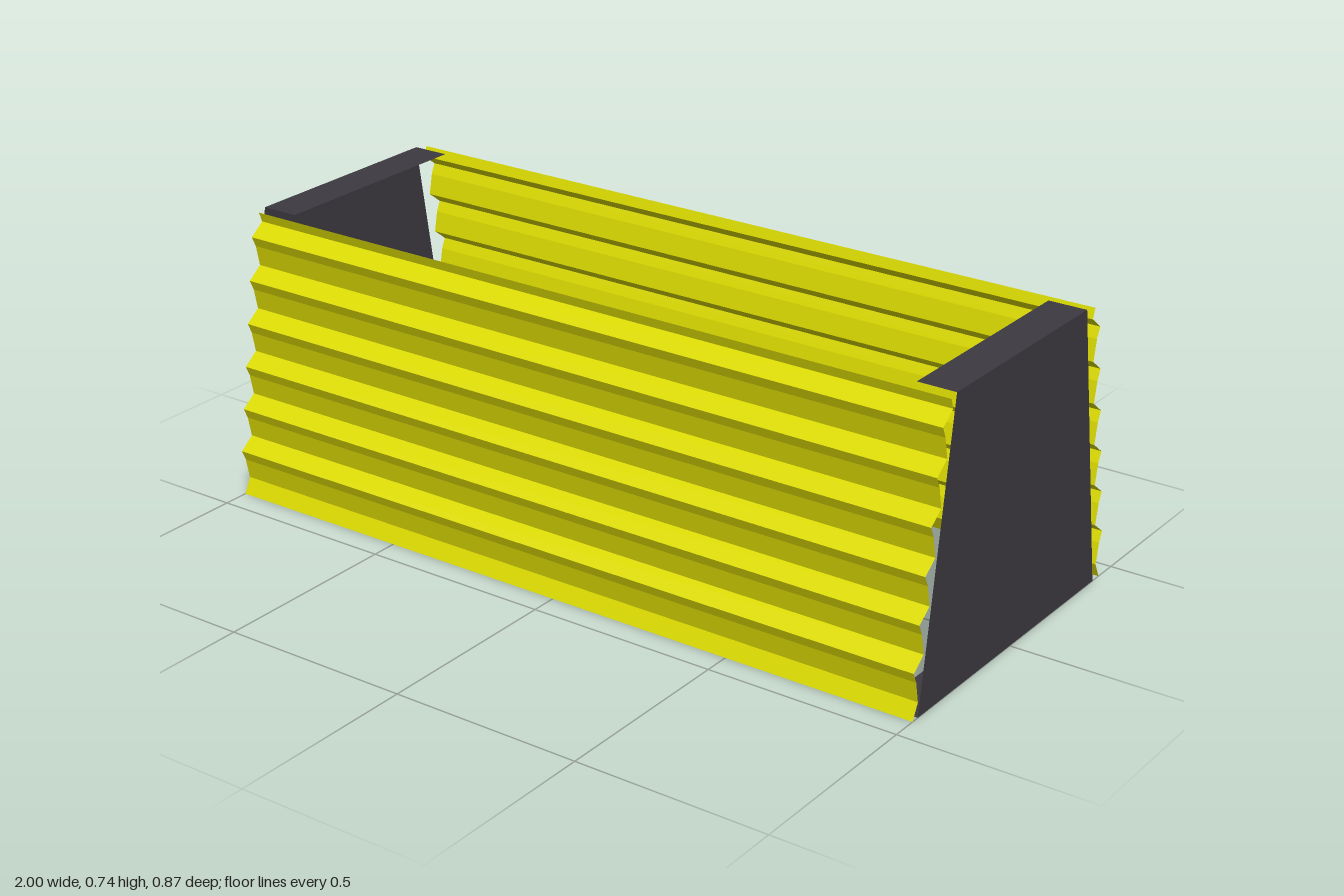
import * as THREE from 'three';

export function createModel() {
  const group = new THREE.Group();
  const yellow = new THREE.MeshStandardMaterial({ color: 0xdcdb00, side: THREE.DoubleSide, flatShading: true });
  yellow.name = 'yellow corrugated metal';
  const dark = new THREE.MeshStandardMaterial({ color: 0x3c3a40, side: THREE.DoubleSide, flatShading: true });
  dark.name = 'dark grey metal';

  const add = (name, geometry, material) => {
    const mesh = new THREE.Mesh(geometry, material);
    mesh.name = name;
    group.add(mesh);
    return mesh;
  };

  // Corrugated section [y, z], from the bottom edge up; each rib is flat, lip, then a slope back in
  const pitch = 0.1115, lean = 0.0165;
  const profile = [[0, 0.432]];
  for (let i = 0; i < 7; i++) {
    const y = 0.04 + i * pitch, z = 0.412 - i * lean;
    profile.push([y, z]);
    if (i < 6) profile.push([y + 0.054, z + 0.011], [y + 0.081, z + 0.023]);
  }
  profile.push([0.735, 0.322]);

  // Long side walls, a folded sheet swept along x
  const n = profile.length;
  const sheet = new THREE.PlaneGeometry(2, 1, 1, n - 1);
  const pos = sheet.attributes.position;
  for (let i = 0; i < pos.count; i++) {
    const [y, z] = profile[n - 1 - Math.floor(i / 2)];
    pos.setY(i, y);
    pos.setZ(i, z);
  }
  const wall = sheet.toNonIndexed();
  wall.computeVertexNormals();
  add('frontWall', wall, yellow);
  const back = add('backWall', wall, yellow);
  back.rotation.y = Math.PI;
  back.position.z = -0.004;

  // Tapered end panels with thin flanges folded inward at top and bottom
  const height = 0.743;
  const outline = new THREE.Shape([
    new THREE.Vector2(-0.41, 0), new THREE.Vector2(0.405, 0),
    new THREE.Vector2(0.285, height), new THREE.Vector2(-0.3, height),
  ]);
  const panel = new THREE.ShapeGeometry(outline).rotateY(Math.PI / 2);
  const topFlange = new THREE.PlaneGeometry(0.1, 0.585).rotateX(-Math.PI / 2);
  const bottomFlange = new THREE.PlaneGeometry(0.1, 0.815).rotateX(Math.PI / 2);
  for (const side of [-1, 1]) {
    const label = side > 0 ? 'left' : 'right';
    add(label + 'EndPanel', panel, dark).position.x = side;
    add(label + 'TopFlange', topFlange, dark).position.set(side * 0.95, height, 0.0075);
    add(label + 'BottomFlange', bottomFlange, dark).position.set(side * 0.95, 0, 0.0025);
  }
  return group;
}
